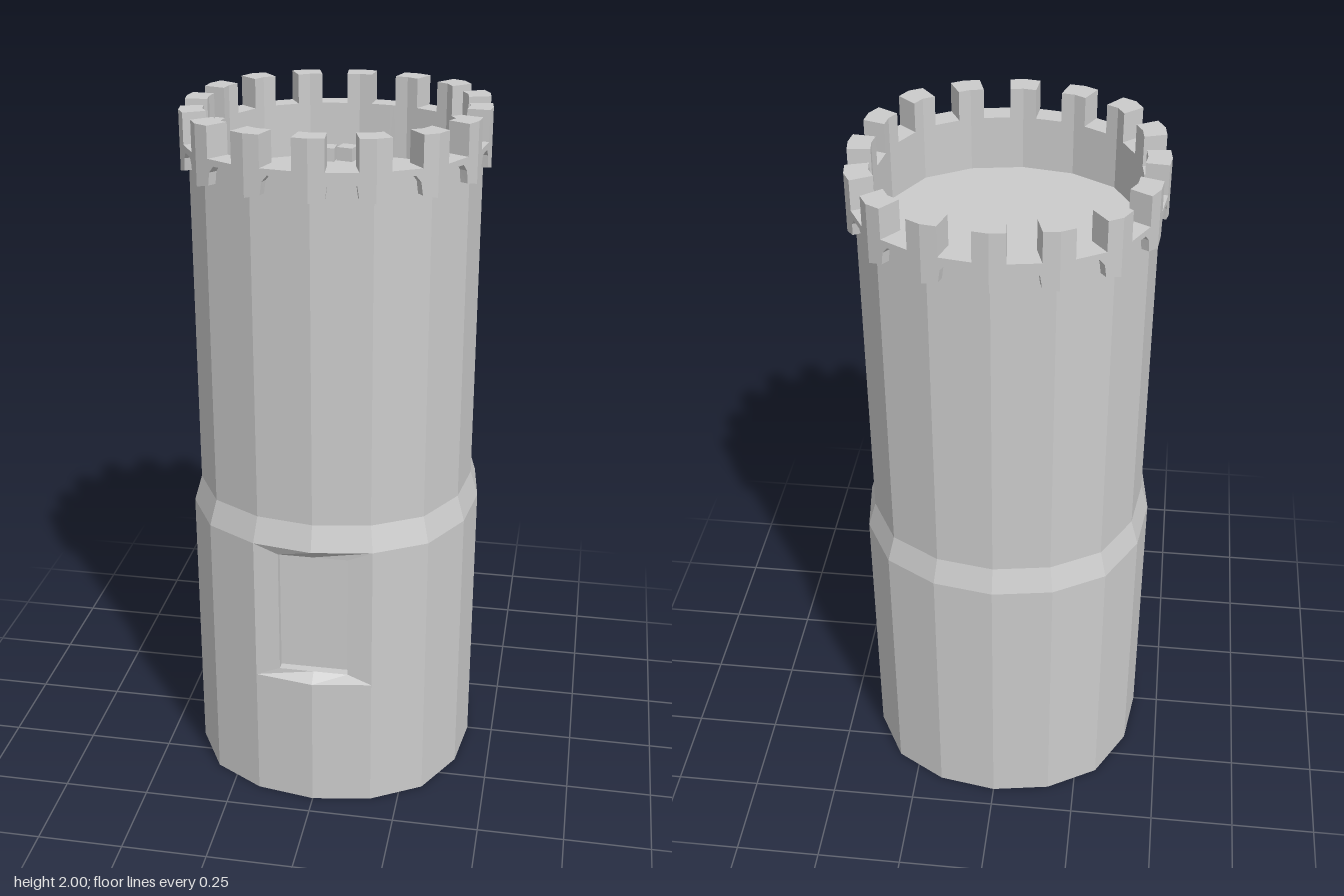
import * as THREE from 'three';

const SIDES = 16;
const FLOOR = 1.76;
// One quadrant of the slightly oval plan, from front (+z) to side (+x)
const QUADRANT = [[0, 0.44], [0.17, 0.412], [0.315, 0.328], [0.4, 0.175], [0.423, 0]];

// Plan corner i, counted from the front towards +x
function corner(i) {
  const k = ((i % SIDES) + SIDES) % SIDES;
  const m = k % 8;
  const [x, z] = QUADRANT[m <= 4 ? m : 8 - m];
  return [k > 8 ? -x : x, k > 4 && k < 12 ? -z : z];
}

// Point on the plan outline: fraction t along side i, scaled, at height y
function at(i, t, scale, y) {
  const a = corner(i), b = corner(i + 1);
  return [(a[0] + (b[0] - a[0]) * t) * scale, y, (a[1] + (b[1] - a[1]) * t) * scale];
}

// Collects counter-clockwise quads and makes a flat shaded mesh
function faceted(name, fill) {
  const pos = [];
  fill((a, b, c, d) => pos.push(...a, ...b, ...c, ...a, ...c, ...d));
  const geo = new THREE.BufferGeometry();
  geo.setAttribute('position', new THREE.Float32BufferAttribute(pos, 3));
  geo.computeVertexNormals();
  return named(name, geo);
}

function named(name, geo) {
  const mat = new THREE.MeshStandardMaterial({ color: 0xcccccc, flatShading: true, side: THREE.DoubleSide });
  const mesh = new THREE.Mesh(geo, mat);
  mesh.name = name;
  return mesh;
}

export function createModel() {
  const tower = new THREE.Group();
  tower.name = 'tower';

  // Wall: wide base, sloped ledge, narrower shaft; open at the bottom
  const rings = [[0, 1], [0.405, 1], [0.84, 1], [0.915, 0.947], [1.9, 0.947]];
  tower.add(faceted('wall', (quad) => {
    for (let r = 0; r < rings.length - 1; r++) {
      const [y0, s0] = rings[r], [y1, s1] = rings[r + 1];
      for (let i = 0; i < SIDES; i++) {
        // leave the two front sides open for the doorway
        if (r === 1 && (i === 0 || i === SIDES - 1)) continue;
        quad(at(i, 0, s0, y0), at(i, 1, s0, y0), at(i, 1, s1, y1), at(i, 0, s1, y1));
      }
    }
  }));

  // Doorway: splayed sill and head, flat jambs and a recessed panel
  tower.add(faceted('doorway', (quad) => {
    const [ox, oz] = corner(1), apex = corner(0)[1];
    const w = 0.1, y0 = 0.405, y1 = 0.84, b = 0.432, t = 0.81, z = 0.41, back = 0.385;
    const both = (p, q, r, s) => {
      const flip = ([x, y, d]) => [-x, y, d];
      quad(p, q, r, s);
      quad(flip(s), flip(r), flip(q), flip(p));
    };
    both([0, y0, apex], [ox, y0, oz], [w, b, z], [0, b, z]);
    both([0, t, z], [w, t, z], [ox, y1, oz], [0, y1, apex]);
    both([w, b, z], [ox, y0, oz], [ox, y1, oz], [w, t, z]);
    both([w, b, back], [w, b, z], [w, t, z], [w, t, back]);
    both([0, b, z], [w, b, z], [w, b, back], [0, b, back]);
    both([0, t, back], [w, t, back], [w, t, z], [0, t, z]);
    both([0, b, back], [w, b, back], [w, t, back], [0, t, back]);
  }));

  // Battlement: merlons on the corners, gaps between, arches beneath
  // [fraction along side, underside, top]
  const profile = [
    [0, 1.835, 2], [0.25, 1.845, 2], [0.25, 1.845, 1.915], [0.28, 1.88, 1.915], [0.37, 1.898, 1.915],
    [0.63, 1.898, 1.915], [0.72, 1.88, 1.915], [0.75, 1.845, 1.915], [0.75, 1.845, 2], [1, 1.835, 2],
  ];
  const inner = 0.852, wall = 0.94;
  tower.add(faceted('battlement', (quad) => {
    for (let i = 0; i < SIDES; i++) {
      for (let j = 0; j < profile.length - 1; j++) {
        const [t0, b0, h0] = profile[j], [t1, b1, h1] = profile[j + 1];
        // top of the wall walk, merlon tops and merlon sides
        quad(at(i, t0, 1, h0), at(i, t1, 1, h1), at(i, t1, inner, h1), at(i, t0, inner, h0));
        if (t0 === t1) continue;
        quad(at(i, t0, 1, b0), at(i, t1, 1, b1), at(i, t1, 1, h1), at(i, t0, 1, h0));
        quad(at(i, t1, inner, FLOOR), at(i, t0, inner, FLOOR), at(i, t0, inner, h0), at(i, t1, inner, h1));
        quad(at(i, t0, wall, b0), at(i, t1, wall, b1), at(i, t1, 1, b1), at(i, t0, 1, b0));
      }
    }
  }));

  // Roof floor inside the battlement
  const outline = [];
  for (let i = 0; i < SIDES; i++) {
    const [x, , z] = at(i, 0, inner, 0);
    outline.push(new THREE.Vector2(x, -z));
  }
  const floor = named('roofFloor', new THREE.ShapeGeometry(new THREE.Shape(outline)));
  floor.rotation.x = -Math.PI / 2;
  floor.position.y = FLOOR;
  tower.add(floor);

  // Two loose stone blocks on the roof
  for (const [x, z, turn] of [[-0.084, -0.3, 0], [-0.025, -0.312, -0.26]]) {
    const block = named('stoneBlock', new THREE.BoxGeometry(0.05, 0.04, 0.05));
    block.position.set(x, FLOOR + 0.02, z);
    block.rotation.y = turn;
    tower.add(block);
  }

  return tower;
}
